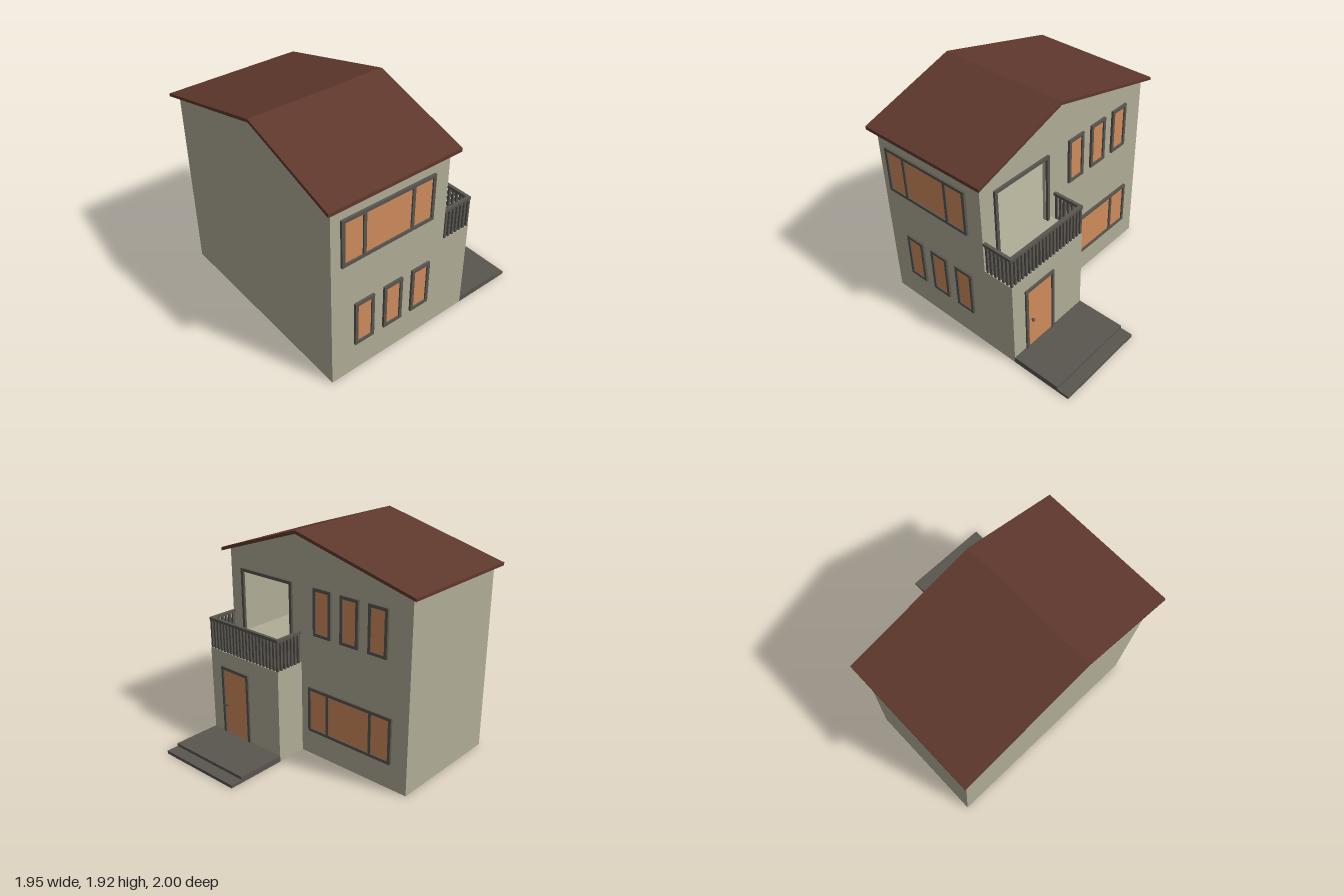
import * as THREE from 'three';

const mat = (color) => new THREE.MeshStandardMaterial({ color, flatShading: true });

export function createModel() {
  const model = new THREE.Group();
  model.name = 'house';
  const wall = mat(0xb0ad96), trim = mat(0x5a5650), pane = mat(0xd08c5c), tile = mat(0x5f382d);

  const add = (parent, name, geometry, material) => {
    const mesh = new THREE.Mesh(geometry, material);
    mesh.name = name;
    parent.add(mesh);
    return mesh;
  };
  // Box given by its lower and upper limits
  const box = (parent, name, material, x0, x1, y0, y1, z0, z1) => {
    const mesh = add(parent, name, new THREE.BoxGeometry(x1 - x0, y1 - y0, z1 - z0), material);
    mesh.position.set((x0 + x1) / 2, (y0 + y1) / 2, (z0 + z1) / 2);
    return mesh;
  };
  const outline = (points) => new THREE.Shape(points.map(([a, b]) => new THREE.Vector2(a, b)));
  // Profile in (z, y), extruded between x0 and x1
  const extrudeX = (shape, x0, x1) =>
    new THREE.ExtrudeGeometry(shape, { depth: x1 - x0, bevelEnabled: false })
      .rotateY(-Math.PI / 2).translate(x1, 0, 0);

  const L = -0.92, R = 0.155, P = 0.43, F = 0.945, RIDGE = 0.14, T = 0.03;
  const FLOOR = 0.865, BALCONY = 0.81;

  // Gable walls, the right one with the balcony doorway cut out
  const gable = () => outline([[-F, 0], [F, 0], [F, 1.628], [RIDGE, 1.895], [-F, 1.624]]);
  add(model, 'leftGableWall', extrudeX(gable(), L, L + T), wall);
  const rightGable = gable();
  rightGable.holes.push(new THREE.Path(
    [[0.255, FLOOR], [0.255, 1.46], [0.785, 1.46], [0.785, FLOOR]].map(([a, b]) => new THREE.Vector2(a, b))));
  add(model, 'rightGableWall', extrudeX(rightGable, R - T, R), wall);

  // Front and back walls, ground storey and upper ceiling
  box(model, 'frontWall', wall, L + T, R - T, FLOOR, 1.625, F - T, F);
  box(model, 'backWall', wall, L + T, R - T, FLOOR, 1.622, -F, -F + T);
  box(model, 'groundStorey', wall, L + T, R - T, 0, FLOOR, -F, F);
  box(model, 'upperCeiling', wall, L + T, R - T, 1.52, 1.55, -F + T, F - T);

  // Porch block with the raised balcony floor
  box(model, 'porchBlock', wall, R, P, 0, BALCONY, RIDGE, F);
  box(model, 'balconyFloor', wall, R, 0.375, BALCONY, FLOOR, 0.19, 0.88);

  // Roof: bent slab with an off-centre ridge
  add(model, 'roof', extrudeX(outline([
    [1, 1.608], [1, 1.637], [RIDGE, 1.92], [-1, 1.632], [-1, 1.608], [RIDGE, 1.893],
  ]), -0.975, 0.212), tile);

  // Rectangular frame around an opening; openBottom leaves out the sill
  const frame = (w, h, t, depth, openBottom) => {
    const a = w / 2, b = h / 2;
    if (openBottom) {
      return new THREE.ExtrudeGeometry(outline([
        [-a, -b], [-a + t, -b], [-a + t, b - t], [a - t, b - t], [a - t, -b], [a, -b], [a, b], [-a, b],
      ]), { depth, bevelEnabled: false });
    }
    const shape = outline([[-a, -b], [a, -b], [a, b], [-a, b]]);
    const c = a - t, d = b - t;
    shape.holes.push(new THREE.Path([[-c, -d], [-c, d], [c, d], [c, -d]].map(([u, v]) => new THREE.Vector2(u, v))));
    return new THREE.ExtrudeGeometry(shape, { depth, bevelEnabled: false });
  };

  // Framed opening built facing +z, then placed on its wall
  const opening = (name, w, h, { mullions = [], filled = true, openBottom = false } = {}) => {
    const g = new THREE.Group();
    g.name = name;
    add(g, name + 'Frame', frame(w, h, 0.026, 0.02, openBottom), trim);
    if (filled) box(g, name + 'Panel', pane, -w / 2 + 0.02, w / 2 - 0.02, -h / 2 + (openBottom ? 0 : 0.02), h / 2 - 0.02, -0.005, 0.008);
    for (const x of mullions) box(g, name + 'Mullion', trim, x - 0.013, x + 0.013, -h / 2 + 0.02, h / 2 - 0.02, 0, 0.019);
    model.add(g);
    return g;
  };
  const onFront = (g, x, y) => g.position.set(x, y, F);
  const onRight = (g, z, y, x = R) => {
    g.position.set(x, y, z);
    g.rotation.y = Math.PI / 2;
  };

  // Wide three-part windows
  onFront(opening('frontWideWindow', 0.85, 0.4, { mullions: [-0.225, 0.217] }), -0.412, 1.288);
  onRight(opening('sideWideWindow', 0.85, 0.4, { mullions: [-0.22, 0.22] }), -0.37, 0.423);

  // Narrow windows in rows of three
  for (let i = 0; i < 3; i++) {
    onFront(opening('frontNarrowWindow', 0.18, 0.405), -0.625 + i * 0.275, 0.478);
    onRight(opening('sideNarrowWindow', 0.18, 0.4), -0.095 - i * 0.275, 1.288);
  }

  // Balcony doorway and entrance door with knob
  onRight(opening('balconyDoorway', 0.585, 0.62, { filled: false, openBottom: true }), 0.52, 1.175);
  onRight(opening('entranceDoor', 0.325, 0.625, { openBottom: true }), 0.65, 0.365, P - 0.005);
  add(model, 'doorKnob', new THREE.SphereGeometry(0.014, 12, 8), trim).position.set(0.451, 0.335, 0.745);
  box(model, 'knobStem', trim, P, 0.45, 0.33, 0.34, 0.74, 0.75);

  // Balcony railing: handrails and evenly spaced balusters
  const railing = new THREE.Group();
  railing.name = 'balconyRailing';
  model.add(railing);
  const Z0 = 0.137, TOP = 1.085, RAIL = 1.06;
  box(railing, 'outerHandrail', trim, 0.402, P, RAIL, TOP, Z0, F);
  box(railing, 'frontHandrail', trim, R, 0.402, RAIL, TOP, F - 0.026, F);
  box(railing, 'backHandrail', trim, R, 0.402, RAIL, TOP, Z0, Z0 + 0.026);
  const baluster = (x, z) =>
    box(railing, 'baluster', trim, x - 0.01, x + 0.01, BALCONY, RAIL, z - 0.01, z + 0.01);
  for (let i = 0; i <= 20; i++) baluster(0.417, 0.152 + i * 0.039);
  for (let i = 0; i < 6; i++) {
    baluster(0.18 + i * 0.0395, 0.152);
    baluster(0.18 + i * 0.0395, 0.932);
  }

  // Entrance steps
  box(model, 'lowerStep', trim, P, 0.97, 0, 0.027, 0.138, F);
  box(model, 'upperStep', trim, P, 0.863, 0.027, 0.053, 0.138, F);

  return model;
}
